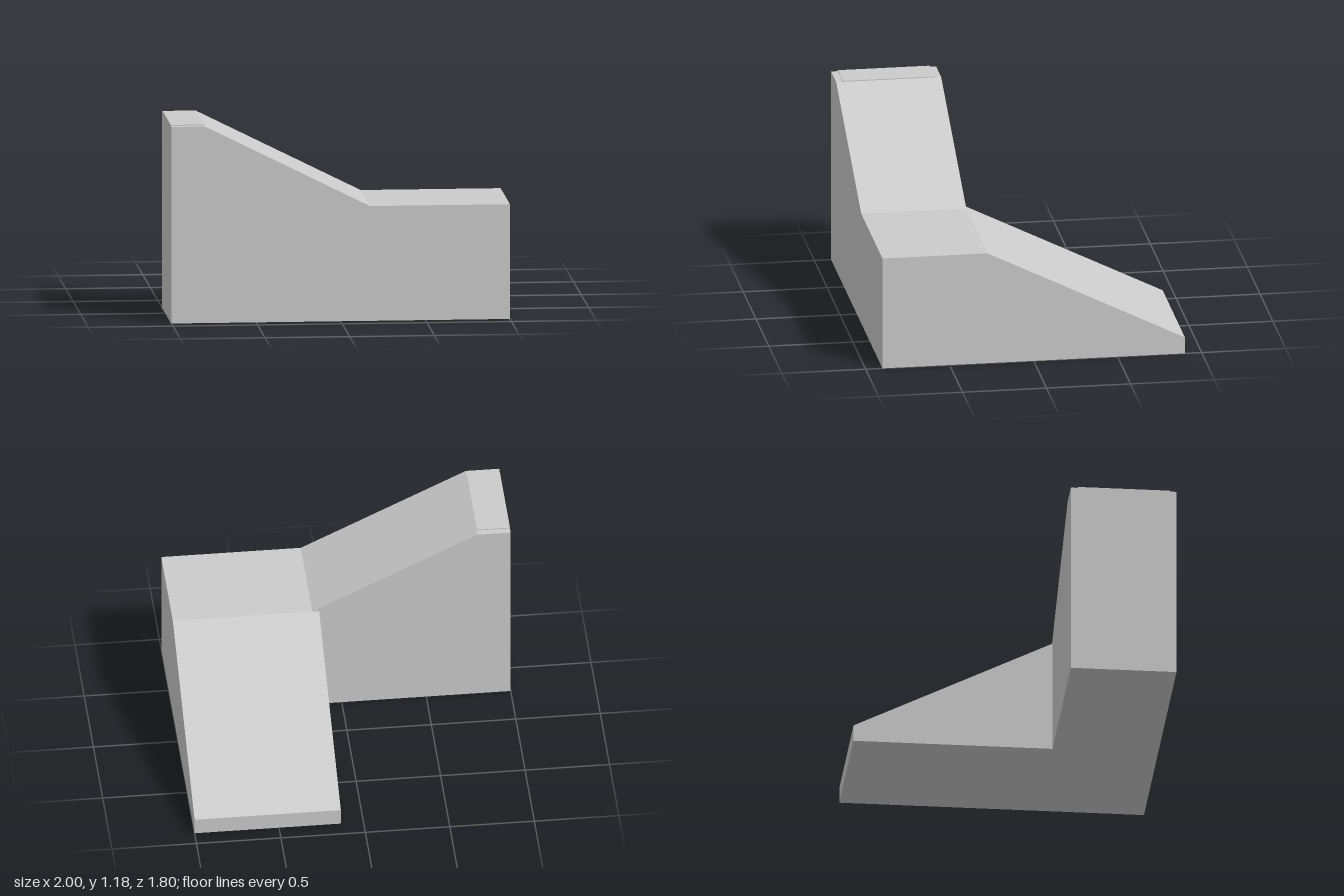
import * as THREE from 'three';

const material = new THREE.MeshStandardMaterial({ color: 0xcccccc, flatShading: true });

// Prism from a side profile
function prism(name, points, depth) {
  const shape = new THREE.Shape(points.map(([u, y]) => new THREE.Vector2(u, y)));
  const geometry = new THREE.ExtrudeGeometry(shape, { depth, bevelEnabled: false });
  const mesh = new THREE.Mesh(geometry, material);
  mesh.name = name;
  return mesh;
}

export function createModel() {
  const group = new THREE.Group();
  group.name = 'cornerRamp';

  const topY = 1.17, landingY = 0.683, foldZ = 0.275;

  // Upper ramp running down along x to the corner landing
  const upper = prism('upperRampAndLanding', [
    [-1, 0], [1, 0], [1, landingY], [0.174, landingY], [-0.802, topY], [-1, topY],
  ], 0.9 - foldZ);
  upper.position.z = foldZ;
  group.add(upper);

  // Lower ramp running from the landing to the back
  const lower = prism('lowerRamp', [
    [-0.9, 0], [foldZ, 0], [foldZ, landingY], [-0.9, 0.1],
  ], 0.866);
  lower.geometry.rotateY(-Math.PI / 2);
  lower.position.x = 1;
  group.add(lower);

  // Barely raised deck between the platform's edge strips
  const deck = new THREE.Mesh(new THREE.BoxGeometry(0.198, 0.02, 0.545), material);
  deck.name = 'topDeck';
  deck.position.set(-0.901, topY - 0.004, 0.5875);
  group.add(deck);

  return group;
}
